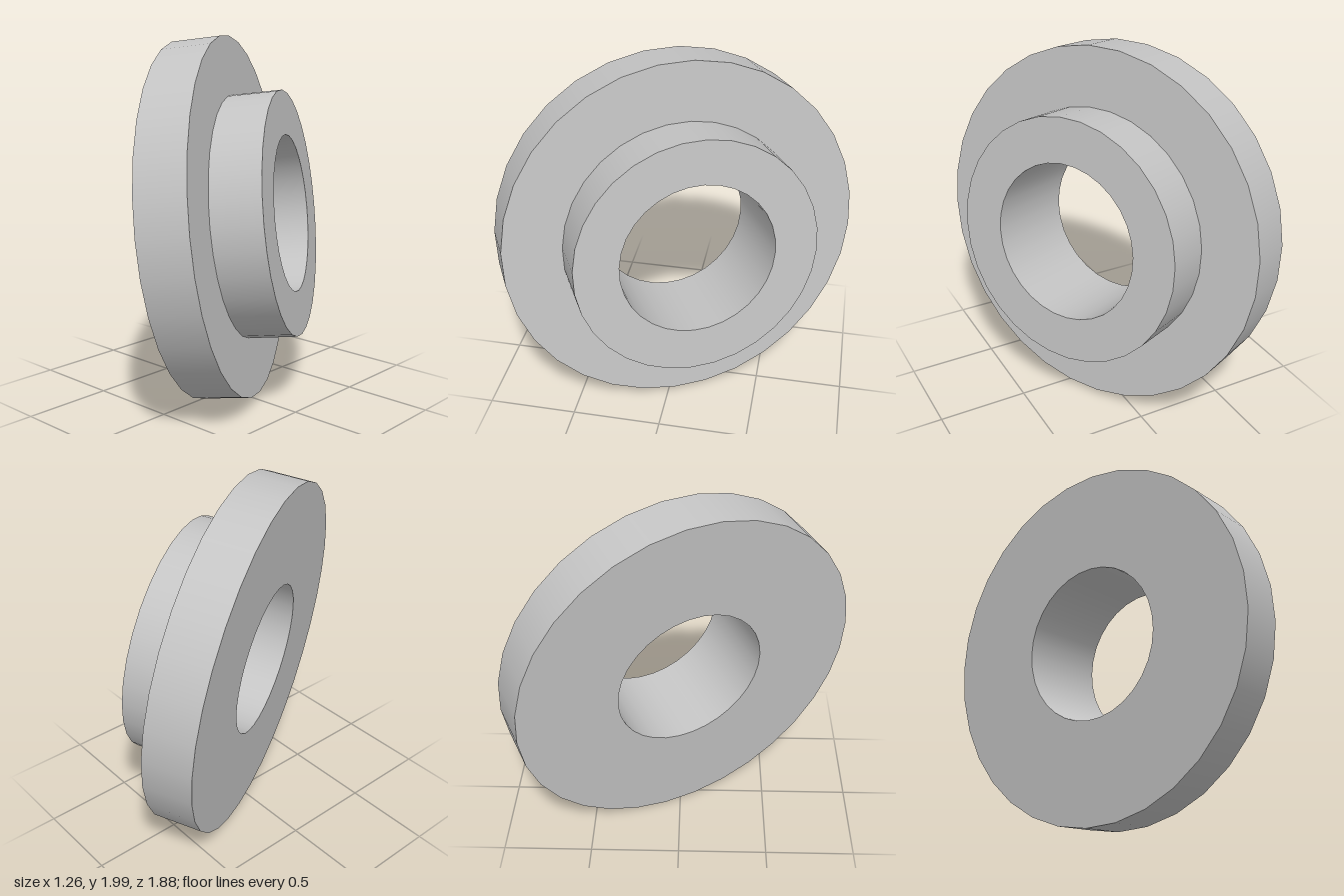
import * as THREE from 'three';
import { mergeGeometries } from 'three/addons/utils/BufferGeometryUtils.js';

const SEGMENTS = 32;
const BORE = 0.428, HUB = 0.67, FLANGE = 0.991; // radii
const STEP = 0.266, END = 0.535; // heights along the axis

// Turn a profile one straight run at a time, so corners stay sharp and walls smooth
function turned(name, profile, material) {
  const runs = [];
  for (let i = 0; i < profile.length - 1; i++) {
    const points = [profile[i], profile[i + 1]].map(([r, h]) => new THREE.Vector2(r, h));
    runs.push(new THREE.LatheGeometry(points, SEGMENTS));
  }
  const mesh = new THREE.Mesh(mergeGeometries(runs), material);
  mesh.name = name;
  return mesh;
}

export function createModel() {
  const steel = new THREE.MeshStandardMaterial({ color: 0xc4c4c4 });
  steel.name = 'light grey steel';

  const collar = new THREE.Group();
  collar.name = 'flangedCollar';
  collar.add(
    // wide disc: outer face, rim and shoulder
    turned('flange', [[BORE, 0], [FLANGE, 0], [FLANGE, STEP], [HUB, STEP]], steel),
    // raised hub: wall and end face
    turned('hub', [[HUB, STEP], [HUB, END], [BORE, END]], steel),
    // through hole
    turned('bore', [[BORE, END], [BORE, 0]], steel),
  );

  // Lean the axis over towards the left and back
  const axis = new THREE.Vector3(0.88, 0.115, -0.46).normalize();
  collar.quaternion.setFromUnitVectors(new THREE.Vector3(0, 1, 0), axis);
  collar.position.set(-0.16, 0.985, 0.06);

  const model = new THREE.Group();
  model.name = 'model';
  model.add(collar);
  return model;
}
